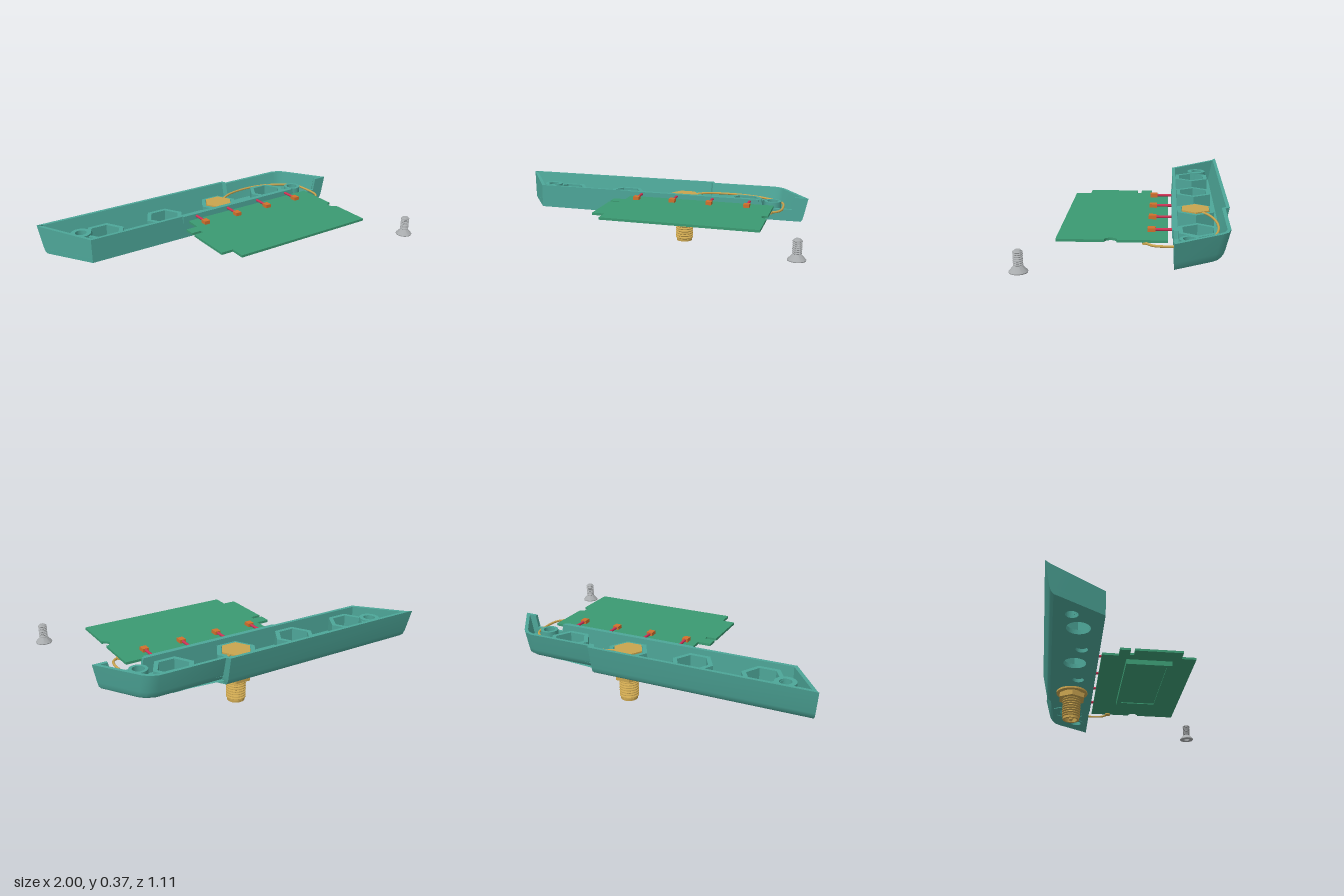
import * as THREE from 'three';
import { toCreasedNormals } from 'three/addons/utils/BufferGeometryUtils.js';

const mat = (name, color, extra = {}) => {
  const m = new THREE.MeshStandardMaterial({ color, ...extra });
  m.name = name;
  return m;
};

// Outline of the tray seen from above: x, z, underside height, rim height
const OUTLINE = [
  [-0.8, -0.24, 0.2, 0.345], [0.46, -0.24, 0.2, 0.345], [0.475, -0.24, 0.225, 0.345],
  [0.66, -0.24, 0.225, 0.345], [0.67, -0.24, 0.225, 0.295], [0.85, -0.24, 0.225, 0.295],
  [0.86, -0.24, 0.225, 0.37], [0.94, -0.24, 0.225, 0.37], [0.78, -0.48, 0.225, 0.37],
  [0.75, -0.512, 0.225, 0.37], [0.7, -0.53, 0.225, 0.37], [0.315, -0.53, 0.225, 0.37],
  [0.3, -0.555, 0.2, 0.372], [-1, -0.555, 0.2, 0.372], [-0.985, -0.53, 0.2, 0.365],
];

// Miter inset of a closed outline
function inset(pts, d) {
  return pts.map((p, i) => {
    const a = pts[(i + pts.length - 1) % pts.length], b = pts[(i + 1) % pts.length];
    const u = new THREE.Vector2(p[0] - a[0], p[1] - a[1]).normalize();
    const v = new THREE.Vector2(b[0] - p[0], b[1] - p[1]).normalize();
    const n = new THREE.Vector2(u.y + v.y, -u.x - v.x).normalize();
    const k = d / Math.max(0.4, n.x * u.y - n.y * u.x);
    return [p[0] + n.x * k, p[1] + n.y * k, p[2], p[3]];
  });
}

// Lean the back and ends of the outline inwards
const lean = (pts, k) => pts.map(([x, z, b, t]) => [
  x + (x > 0.85 ? -0.04 : x < -0.9 ? 0.03 : 0) * k, z + (z < -0.4 ? 0.05 : 0) * k, b, t]);

function loft(rings) {
  const pos = [];
  const n = rings[0].length;
  for (let r = 0; r < rings.length - 1; r++) {
    for (let i = 0; i < n; i++) {
      const j = (i + 1) % n;
      const a = rings[r][i], b = rings[r][j], c = rings[r + 1][j], d = rings[r + 1][i];
      pos.push(...a, ...b, ...c, ...a, ...c, ...d);
    }
  }
  const g = new THREE.BufferGeometry();
  g.setAttribute('position', new THREE.Float32BufferAttribute(pos, 3));
  return toCreasedNormals(g, 0.6);
}

// Flat plate from an x/z shape, spanning y0 to y1
function plate(shape, y0, y1) {
  const g = new THREE.ExtrudeGeometry(shape, { depth: y1 - y0, bevelEnabled: false, curveSegments: 24 });
  return g.rotateX(Math.PI / 2).translate(0, y1, 0);
}
const polygon = (pts) => new THREE.Shape(pts.map((p) => new THREE.Vector2(p[0], p[1])));
const circle = (x, z, r) => new THREE.Path().absarc(x, z, r, 0, Math.PI * 2, true);
const disc = (x, z, r) => new THREE.Shape().absarc(x, z, r, 0, Math.PI * 2, false);
const hex = (x, z, r) => Array.from({ length: 6 }, (_, i) =>
  [x + r * Math.cos(i * Math.PI / 3), z + r * Math.sin(i * Math.PI / 3)]);

// Zigzag lathe profile for a thread
function thread(r0, r1, y0, y1, turns) {
  const p = [];
  const s = (y1 - y0) / turns;
  for (let i = 0; i < turns; i++) {
    p.push([r0, y0 + i * s], [r1, y0 + (i + 0.35) * s], [r1, y0 + (i + 0.65) * s]);
  }
  p.push([r0, y1]);
  return p;
}
const lathe = (pts, seg = 32) => toCreasedNormals(
  new THREE.LatheGeometry(pts.map((p) => new THREE.Vector2(...p)), seg).toNonIndexed(), 0.5);

export function createModel() {
  const model = new THREE.Group();
  const teal = mat('teal plastic', 0x4da698, { side: THREE.DoubleSide });
  const green = mat('board green', 0x3b9a72);
  const gold = mat('brass', 0xc9a44f);
  const orange = mat('orange plug', 0xd0702e);
  const red = mat('red wire', 0xcc3355);
  const steel = mat('steel', 0xa9acae);
  const add = (name, geo, material, parent = model) => {
    const m = new THREE.Mesh(geo, material);
    m.name = name;
    parent.add(m);
    return m;
  };

  // Tray walls
  const tray = new THREE.Group();
  tray.name = 'tray';
  model.add(tray);
  const at = (pts, f) => pts.map((p) => [p[0], f(p), p[1]]);
  const inner = inset(OUTLINE, 0.02);
  const base = lean(OUTLINE, 1);
  add('trayWalls', loft([
    at(base, (p) => p[2]),
    at(lean(OUTLINE, 0.72), (p) => p[2] + 0.013),
    at(lean(OUTLINE, 0.54), (p) => p[2] + 0.04),
    at(OUTLINE, (p) => p[3]),
    at(inner, (p) => p[3]),
    at(lean(inner, 0.6), (p) => p[2] + 0.027),
  ]), teal, tray);

  // Floor in two levels, with connector, post and dimple holes
  const ports = [-0.655, -0.25, 0.15, 0.54];
  const posts = [[-0.79, -0.41, 0.06], [0.72, -0.32, 0.052]];
  const dimples = [-0.42, -0.03, 0.31];
  const left = polygon([0, 1, 12, 13, 14].map((i) => base[i]));
  const right = polygon([1, 2, 3, 4, 5, 6, 7, 8, 9, 10, 11, 12].map((i) => base[i]));
  ports.forEach((x) => (x < 0.4 ? left : right).holes.push(circle(x, -0.37, 0.065)));
  posts.forEach(([x, z]) => (x < 0.4 ? left : right).holes.push(circle(x, z, 0.034)));
  dimples.forEach((x) => left.holes.push(circle(x, -0.34, 0.034)));
  add('floorLeft', plate(left, 0.2, 0.227), teal, tray);
  add('floorRight', plate(right, 0.225, 0.252), teal, tray);

  // Hexagonal sockets, screw posts and small pads
  ports.forEach((x) => {
    const s = polygon(hex(x, -0.37, 0.122));
    s.holes.push(new THREE.Path(hex(x, -0.37, 0.094).reverse().map((p) => new THREE.Vector2(...p))));
    add('hexSocket', plate(s, 0.22, 0.315), teal, tray);
  });
  posts.forEach(([x, z, r]) => {
    const s = disc(x, z, r);
    s.holes.push(circle(x, z, 0.034));
    add('screwPost', plate(s, 0.22, 0.325), teal, tray);
  });
  dimples.forEach((x) => add('pad', plate(disc(x, -0.34, 0.046), 0.222, 0.235), teal, tray));
  add('frontLip', new THREE.BoxGeometry(0.84, 0.045, 0.01).translate(0.225, 0.3225, -0.236), teal, tray);

  // Circuit board with slots
  const board = new THREE.Shape();
  [[-0.17, -0.21], [0.74, -0.21], [0.74, 0.05]].forEach(([x, z], i) =>
    (i ? board.lineTo(x, z) : board.moveTo(x, z)));
  board.absarc(0.74, 0.08, 0.033, -Math.PI / 2, Math.PI / 2, true);
  [[0.74, 0.36], [-0.17, 0.36], [-0.17, 0.27], [-0.245, 0.27], [-0.245, -0.02], [-0.185, -0.02],
    [-0.185, -0.045], [-0.245, -0.045], [-0.245, -0.11], [-0.17, -0.11]].forEach((p) => board.lineTo(...p));
  add('circuitBoard', plate(board, 0.307, 0.321), green);

  // Shield can below the board
  const rim = polygon([[-0.13, -0.06], [0.485, -0.06], [0.485, 0.22], [-0.13, 0.22]]);
  rim.holes.push(new THREE.Path([[-0.1, -0.03], [-0.1, 0.19], [0.455, 0.19], [0.455, -0.03]]
    .map((p) => new THREE.Vector2(...p))));
  add('shieldRim', plate(rim, 0.276, 0.308), green);
  add('shieldLid', new THREE.BoxGeometry(0.56, 0.026, 0.225).translate(0.1775, 0.295, 0.08), green);

  // Plugs and short wires along the board's edge
  [-0.1, 0.13, 0.36, 0.59].forEach((x) => {
    add('plug', new THREE.BoxGeometry(0.036, 0.022, 0.042).translate(x, 0.331, -0.125), orange);
    add('wire', new THREE.CylinderGeometry(0.008, 0.008, 0.1, 12)
      .rotateX(Math.PI / 2).translate(x, 0.331, -0.19), red);
  });

  // Antenna cable
  const cable = new THREE.CatmullRomCurve3([
    [0.19, 0.312, -0.395], [0.27, 0.318, -0.44], [0.38, 0.315, -0.475], [0.52, 0.312, -0.48],
    [0.66, 0.31, -0.44], [0.77, 0.308, -0.36], [0.792, 0.307, -0.26], [0.782, 0.306, -0.14],
    [0.742, 0.305, -0.1]].map((p) => new THREE.Vector3(...p)));
  add('cable', new THREE.TubeGeometry(cable, 60, 0.007, 8), gold);
  add('cablePlug', new THREE.CylinderGeometry(0.019, 0.019, 0.012, 20).translate(0.728, 0.303, -0.098), gold);

  // Threaded antenna connector
  const connector = new THREE.Group();
  connector.name = 'connector';
  connector.position.set(0.15, 0, -0.37);
  model.add(connector);
  add('hexBody', plate(polygon(hex(0, 0, 0.09)), 0.222, 0.322), gold, connector);
  add('threadedBarrel', lathe([[0, 0.035], [0.036, 0.035], [0.038, 0.012], [0.05, 0.012], [0.05, 0.026],
    ...thread(0.046, 0.056, 0.026, 0.15, 8), [0.055, 0.15], [0.055, 0.225], [0, 0.225]]), gold, connector);
  add('centrePin', lathe([[0, 0], [0.012, 0.012], [0.012, 0.04]], 16), gold, connector);
  add('nut', plate(polygon(hex(0, 0, 0.087)), 0.147, 0.176), gold, connector);
  add('washer', new THREE.CylinderGeometry(0.096, 0.096, 0.012, 32).translate(0, 0.192, 0), gold, connector);
  add('lockWasher', new THREE.CylinderGeometry(0.068, 0.068, 0.012, 32).translate(0, 0.181, 0), gold, connector);

  // Loose countersunk screw, head down
  const screw = add('screw', lathe([[0, 0.238], [0.02, 0.238], [0.022, 0.221], [0.047, 0.221], [0.048, 0.226],
    [0.022, 0.255], ...thread(0.019, 0.025, 0.256, 0.33, 7), [0.016, 0.335], [0, 0.335]], 24), steel);
  screw.position.set(0.95, 0, 0.51);
  return model;
}
